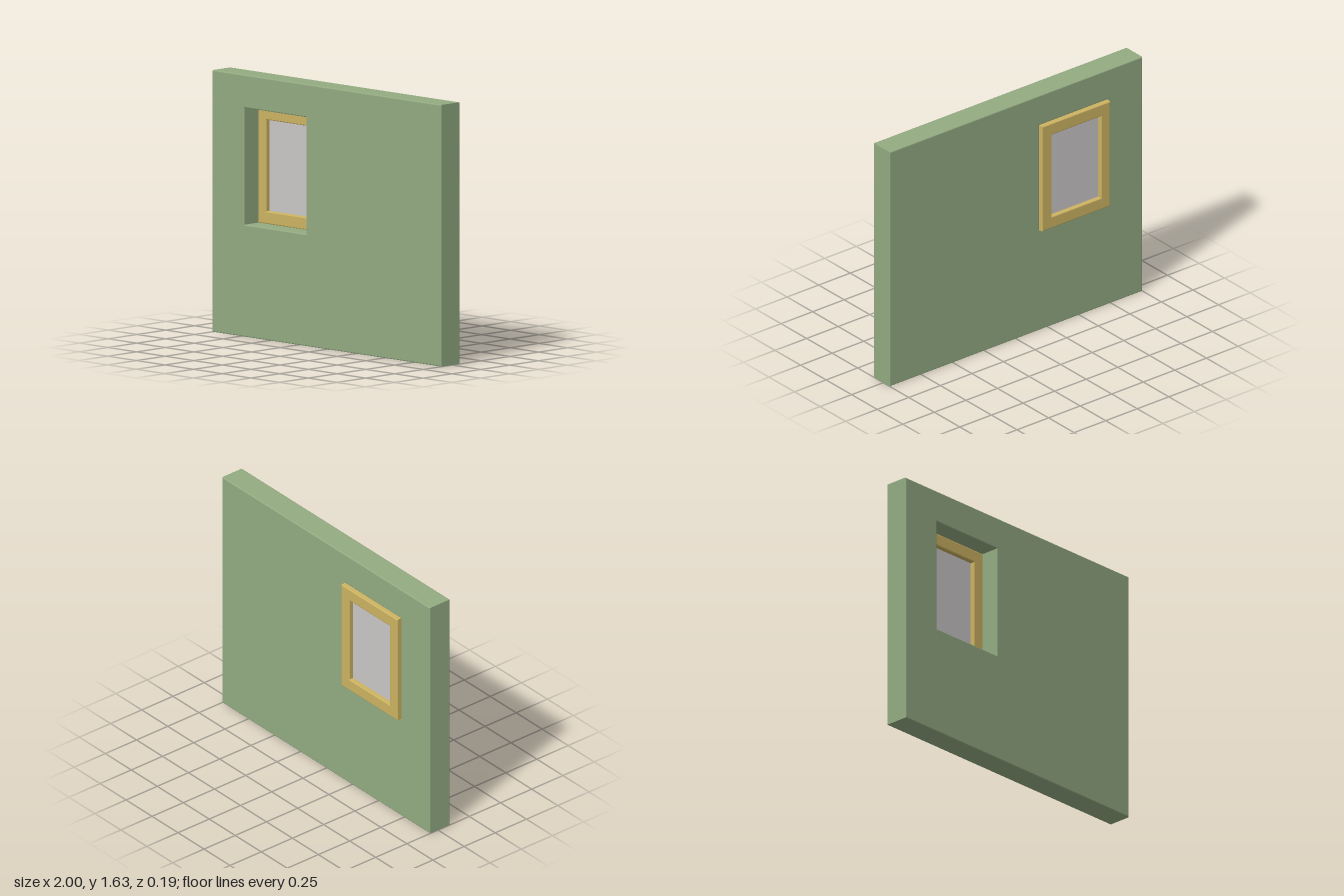
import * as THREE from 'three';

const BEVEL = 0.006;

function material(name, color) {
  const m = new THREE.MeshStandardMaterial({ color });
  m.name = name;
  return m;
}

// Traces a rectangle given as [left, bottom, right, top]
function trace(path, [x0, y0, x1, y1]) {
  path.moveTo(x0, y0);
  path.lineTo(x1, y0);
  path.lineTo(x1, y1);
  path.lineTo(x0, y1);
  path.closePath();
  return path;
}

// Softly bevelled slab from zBack to zFront with a rectangular opening
function slabWithOpening(name, outer, opening, zBack, zFront, mat) {
  const shape = trace(new THREE.Shape(), outer);
  shape.holes.push(trace(new THREE.Path(), opening));
  const geometry = new THREE.ExtrudeGeometry(shape, {
    depth: zFront - zBack - 2 * BEVEL,
    bevelThickness: BEVEL,
    bevelSize: BEVEL,
    bevelOffset: -BEVEL,
    bevelSegments: 2,
  });
  geometry.translate(0, 0, zBack + BEVEL);
  const mesh = new THREE.Mesh(geometry, mat);
  mesh.name = name;
  return mesh;
}

export function createModel() {
  const green = material('sage green', 0x93ab82);
  const gold = material('ochre yellow', 0xcdb462);
  const grey = material('pale grey', 0xcbc8c7);

  const model = new THREE.Group();
  model.name = 'wallWithWindow';

  const opening = [-0.722, 0.697, -0.182, 1.425];
  const paneRect = [-0.65, 0.775, -0.26, 1.345];

  // Wall panel
  model.add(slabWithOpening('wall', [-1, 0, 1, 1.63], opening, -0.065, 0.095, green));

  // Window: frame standing proud of the back face, with the pane at mid-depth
  const windowGroup = new THREE.Group();
  windowGroup.name = 'window';
  windowGroup.add(slabWithOpening('windowFrame', opening, paneRect, -0.095, -0.025, gold));

  const [x0, y0, x1, y1] = paneRect;
  const pane = new THREE.Mesh(new THREE.BoxGeometry(x1 - x0, y1 - y0, 0.009), grey);
  pane.name = 'windowPane';
  pane.position.set((x0 + x1) / 2, (y0 + y1) / 2, -0.06);
  windowGroup.add(pane);

  model.add(windowGroup);
  return model;
}
